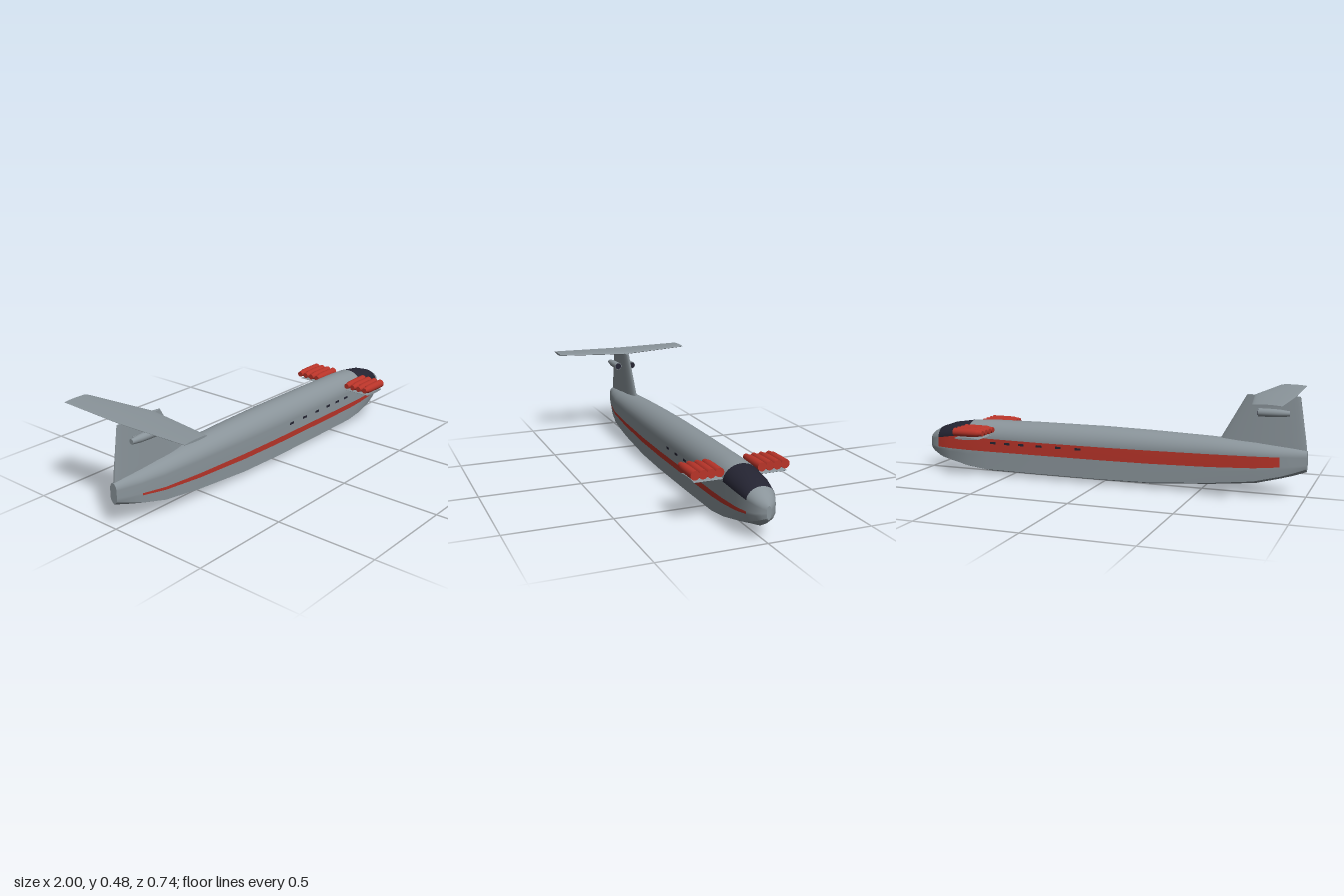
import * as THREE from 'three';

const mat = (name, color, side = THREE.FrontSide) => {
  const m = new THREE.MeshStandardMaterial({ color, side });
  m.name = name;
  return m;
};

// Skins a row of cross-sections; pick(i, j) chooses the material of each cell.
function loft(name, sections, materials, pick = () => 0) {
  const n = sections[0].length;
  const lists = materials.map(() => []);
  for (let i = 0; i < sections.length - 1; i++) {
    for (let j = 0; j < n - 1; j++) {
      const a = i * n + j, b = a + n;
      lists[pick(i, j)].push(a, b, b + 1, a, b + 1, a + 1);
    }
  }
  const geo = new THREE.BufferGeometry();
  geo.setAttribute('position', new THREE.Float32BufferAttribute(sections.flat(2), 3));
  geo.setIndex(lists.flat());
  let start = 0;
  lists.forEach((l, k) => { geo.addGroup(start, l.length, k); start += l.length; });
  geo.computeVertexNormals();
  const mesh = new THREE.Mesh(geo, materials);
  mesh.name = name;
  return mesh;
}

// Same section collapsed to its centre, for closing an end.
function collapse(section) {
  const c = [0, 1, 2].map(k => section.reduce((s, p) => s + p[k], 0) / section.length);
  return section.map(() => c);
}

function closedLoft(name, sections, material) {
  const g = new THREE.Group();
  g.name = name;
  const last = sections[sections.length - 1];
  g.add(loft(name + 'Skin', sections, [material]),
    loft(name + 'StartCap', [collapse(sections[0]), sections[0]], [material]),
    loft(name + 'EndCap', [last, collapse(last)], [material]));
  return g;
}

// Airfoil outline: chord from x0 (trailing) to x1 (leading), half thickness t.
function foil(x0, x1, t, place) {
  const pts = [];
  for (let k = 0; k <= 24; k++) {
    const a = (k / 24) * Math.PI * 2;
    pts.push(place((x0 + x1) / 2 + Math.cos(a) * (x1 - x0) / 2, t * Math.sin(a) * (0.85 + 0.25 * Math.cos(a))));
  }
  return pts;
}

// x, half width, top, shoulder, stripe top, stripe bottom, chine height, chine half width, keel
const stations = [
  [-1.0, 0.02, 0.22, 0.19, 0.155, 0.145, 0.135, 0.016, 0.12],
  [-0.94, 0.036, 0.23, 0.19, 0.148, 0.138, 0.115, 0.032, 0.098],
  [-0.88, 0.051, 0.237, 0.19, 0.143, 0.133, 0.097, 0.047, 0.08],
  [-0.76, 0.07, 0.25, 0.19, 0.134, 0.12, 0.07, 0.067, 0.048],
  [-0.55, 0.079, 0.262, 0.188, 0.126, 0.105, 0.048, 0.078, 0.027],
  [-0.25, 0.087, 0.272, 0.186, 0.121, 0.094, 0.028, 0.087, 0.004],
  [0.0, 0.09, 0.277, 0.185, 0.12, 0.091, 0.024, 0.09, 0],
  [0.35, 0.09, 0.277, 0.185, 0.12, 0.091, 0.024, 0.09, 0],
  [0.63, 0.09, 0.274, 0.188, 0.12, 0.093, 0.026, 0.089, 0.001],
  [0.74, 0.087, 0.267, 0.196, 0.12, 0.097, 0.037, 0.084, 0.014],
  [0.85, 0.08, 0.25, 0.185, 0.121, 0.104, 0.058, 0.071, 0.034],
  [0.925, 0.067, 0.224, 0.172, 0.123, 0.112, 0.076, 0.054, 0.051],
  [0.97, 0.046, 0.198, 0.16, 0.126, 0.116, 0.094, 0.035, 0.075],
  [0.99, 0.028, 0.18, 0.152, 0.13, 0.12, 0.104, 0.02, 0.089],
  [1.0, 0.01, 0.163, 0.145, 0.132, 0.124, 0.11, 0.008, 0.1],
];
const ARC = 16;

// From the left chine, over the roof, to the right chine.
function upperSection([x, w, top, sh, s1, s0, yc, wc]) {
  const pts = [[x, yc, wc], [x, s0, w], [x, s1, w]];
  for (let k = 0; k <= ARC; k++) {
    const a = (k / ARC) * Math.PI;
    pts.push([x, sh + (top - sh) * Math.sin(a), w * Math.cos(a)]);
  }
  pts.push([x, s1, -w], [x, s0, -w], [x, yc, -wc]);
  return pts;
}

// From the right chine, under the keel, to the left chine.
function lowerSection([x, , , , , , yc, wc, yk]) {
  return [-1, -0.75, -0.5, -0.25, 0, 0.25, 0.5, 0.75, 1].map(t =>
    [x, yk + (yc - yk) * Math.pow(Math.abs(t), 1.25), wc * t]);
}

export function createModel() {
  const grey = mat('hullGrey', 0x8a949a);
  const red = mat('red', 0xb83429);
  const dark = mat('darkGlass', 0x242432);
  const model = new THREE.Group();
  model.name = 'seaplane';

  const add = (name, geo, material, x, y, z, parent = model) => {
    const m = new THREE.Mesh(geo, material);
    m.name = name;
    m.position.set(x, y, z);
    parent.add(m);
    return m;
  };

  // Fuselage with stripe and cockpit glazing as material regions
  const upper = stations.map(upperSection), lower = stations.map(lowerSection);
  model.add(loft('fuselage', upper, [grey, red, dark], (i, j) => {
    const x0 = stations[i][0], x1 = stations[i + 1][0];
    if ((j === 1 || j === ARC + 3) && x0 >= -0.88 && x1 <= 0.925) return 1;
    if (j >= 3 && j < 3 + ARC && x0 >= 0.74 && x1 <= 0.925) return 2;
    return 0;
  }));
  model.add(loft('planingBottom', lower, [grey]));
  const ring = i => [...upper[i], ...lower[i]];
  const end = stations.length - 1;
  model.add(loft('tailCap', [collapse(ring(0)), ring(0)], [grey]));
  model.add(loft('noseCap', [ring(end), collapse(ring(end))], [grey]));

  // Cabin windows
  const pane = new THREE.BoxGeometry(0.03, 0.011, 0.006);
  for (const s of [1, -1])
    for (const x of [0.117, 0.224, 0.33, 0.43, 0.51, 0.59]) add('window', pane, dark, x, 0.167, s * 0.089);

  // Tail fin
  model.add(closedLoft('tailFin', [[0.2, -1, -0.556, 0.023], [0.26, -0.993, -0.59, 0.022], [0.472, -0.96, -0.71, 0.014]]
    .map(([y, x0, x1, t]) => foil(x0, x1, t, (x, d) => [x, y, d])), grey));

  // Tailplane and engine-carrying stub wing run from right tip to left tip
  const span = (name, rows) => model.add(closedLoft(name, rows.map(([z, x0, x1, y, t]) =>
    foil(x0, x1, t, (x, d) => [x, y + d, z]).reverse()), grey));
  span('tailplane', [[-0.37, -0.935, -0.805, 0.477, 0.006], [0, -0.94, -0.745, 0.471, 0.009],
    [0.37, -0.935, -0.805, 0.477, 0.006]]);
  span('stubWing', [[-0.222, 0.6, 0.74, 0.207, 0.007], [0.222, 0.6, 0.74, 0.207, 0.007]]);

  // Nacelles: lathe profiles turned so that their axis points forward
  const nacelle = (profile) => {
    const g = new THREE.LatheGeometry(profile.map(p => new THREE.Vector2(...p)), 24);
    return g.rotateZ(-Math.PI / 2);
  };
  const booster = nacelle([[0, -0.08], [0.014, -0.08], [0.014, -0.08], [0.016, -0.06], [0.016, -0.06], [0.02, -0.045],
    [0.021, 0], [0.021, 0.08], [0.021, 0.08], [0, 0.08]]);
  const tailPod = nacelle([[0, -0.073], [0.012, -0.073], [0.012, -0.073], [0.018, -0.025], [0.0195, 0.03],
    [0.0195, 0.073], [0.0195, 0.073], [0, 0.073]]);
  const intake = new THREE.CylinderGeometry(0.017, 0.017, 0.003, 24).rotateZ(Math.PI / 2);
  const pylon = new THREE.BoxGeometry(0.07, 0.008, 0.03);
  for (const s of [1, -1]) {
    for (let k = 0; k < 4; k++) add('frontEngine', booster, red, 0.66, 0.238, s * (0.101 + k * 0.038));
    add('tailEngine', tailPod, grey, -0.847, 0.396, s * 0.041);
    add('tailIntake', intake, dark, -0.774, 0.396, s * 0.041);
    add('tailPylon', pylon, grey, -0.85, 0.396, s * 0.018);
  }
  return model;
}
